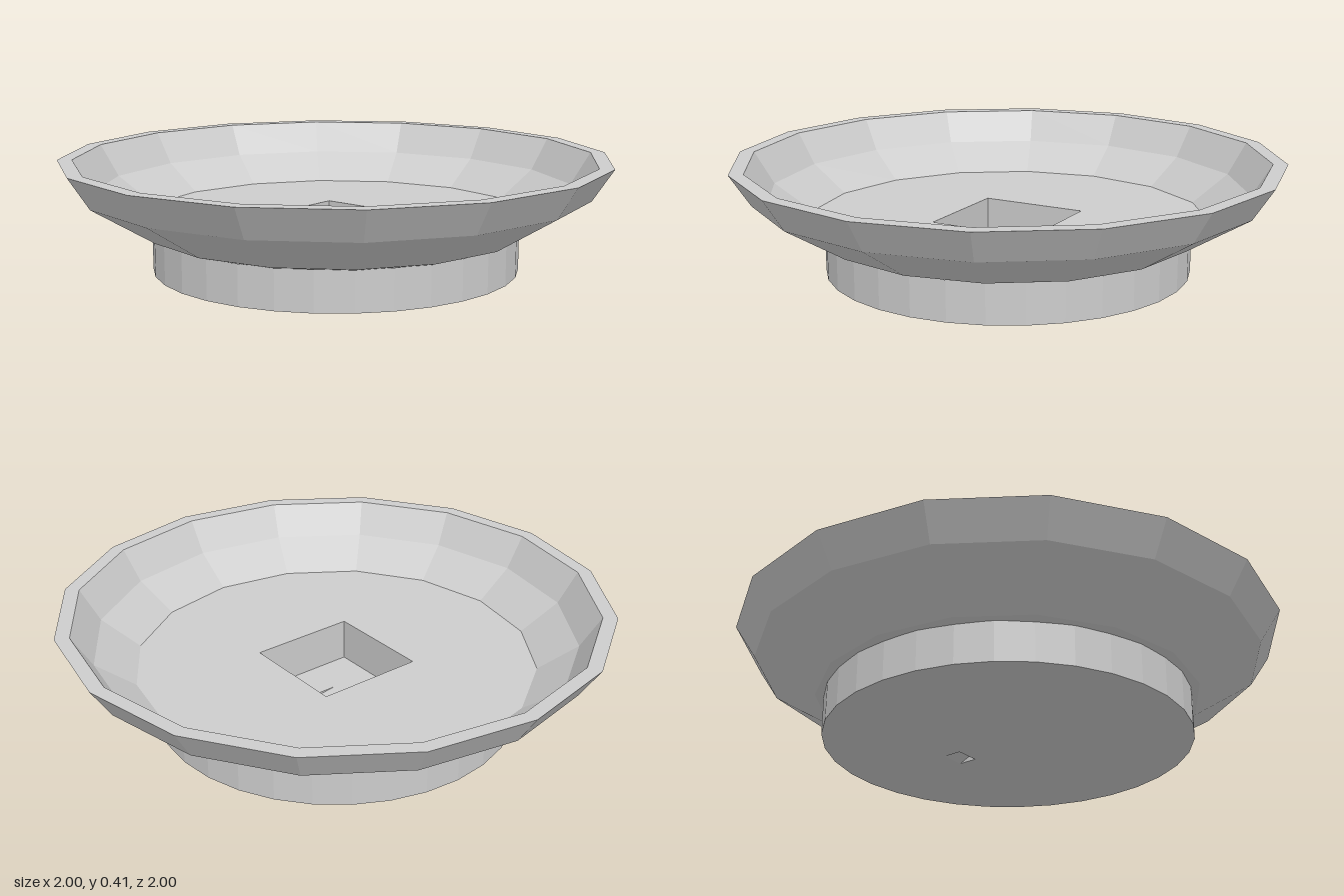
import * as THREE from 'three';

const FLOOR = 0.185; // inside floor of the dish
const POCKET = 0.027; // floor of the square pocket

const polygon = (radius, sides) => Array.from({ length: sides }, (_, i) => {
  const a = (i / sides) * Math.PI * 2;
  return [radius * Math.sin(a), radius * Math.cos(a)];
});

const rectangle = (halfX, z0, z1) => [[-halfX, z0], [halfX, z0], [halfX, z1], [-halfX, z1]];

// Horizontal plate with a hole, given as [x, z] points, facing up or down
function plate(outline, hole, y, up) {
  const toVectors = (pts) => pts.map(([x, z]) => new THREE.Vector2(x, up ? -z : z));
  const shape = new THREE.Shape(toVectors(outline));
  shape.holes.push(new THREE.Path(toVectors(hole)));
  const geometry = new THREE.ShapeGeometry(shape);
  geometry.rotateX(up ? -Math.PI / 2 : Math.PI / 2);
  return geometry.translate(0, y, 0);
}

// Inward-facing walls joining an upper and a lower loop of [x, z] points
function walls(upper, yUpper, lower, yLower) {
  const positions = [];
  upper.forEach((_, i) => {
    const j = (i + 1) % upper.length;
    const at = (loop, k, y) => [loop[k][0], y, loop[k][1]];
    const a = at(upper, i, yUpper), b = at(upper, j, yUpper);
    const c = at(lower, j, yLower), d = at(lower, i, yLower);
    positions.push(...a, ...d, ...c, ...a, ...c, ...b);
  });
  const geometry = new THREE.BufferGeometry();
  geometry.setAttribute('position', new THREE.Float32BufferAttribute(positions, 3));
  geometry.computeVertexNormals();
  return geometry;
}

export function createModel() {
  const model = new THREE.Group();
  model.name = 'dish';
  const grey = new THREE.MeshStandardMaterial({ color: 0xcccccc, flatShading: true, side: THREE.DoubleSide });
  grey.name = 'light grey';
  const add = (name, geometry) => {
    const mesh = new THREE.Mesh(geometry, grey);
    mesh.name = name;
    model.add(mesh);
  };

  // Sixteen-sided bowl: outside, rim, then inside down to the floor
  const profile = [
    [0.66, 0.14], [0.7, 0.152], [0.925, 0.29], [1, 0.405],
    [0.947, 0.405], [0.875, 0.287], [0.733, FLOOR],
  ].map(([r, y]) => new THREE.Vector2(r, y));
  add('bowl', new THREE.LatheGeometry(profile, 16));

  // Floor with a square pocket
  const pocket = rectangle(0.2, -0.2, 0.2);
  const slotTop = rectangle(0.045, -0.199, 0.03);
  const slotBottom = rectangle(0.045, -0.26, -0.19);
  add('bowlFloor', plate(polygon(0.733, 16), pocket, FLOOR, true));
  add('pocketWalls', walls(pocket, FLOOR, pocket, POCKET));
  add('pocketFloor', plate(pocket, slotTop, POCKET, true));

  // Slanted slot running out through the underside
  add('slotWalls', walls(slotTop, POCKET, slotBottom, 0));

  // Round foot
  add('footSide', new THREE.CylinderGeometry(0.668, 0.668, 0.145, 32, 1, true).translate(0, 0.0725, 0));
  add('footUnderside', plate(polygon(0.668, 32), slotBottom, 0, false));

  return model;
}
